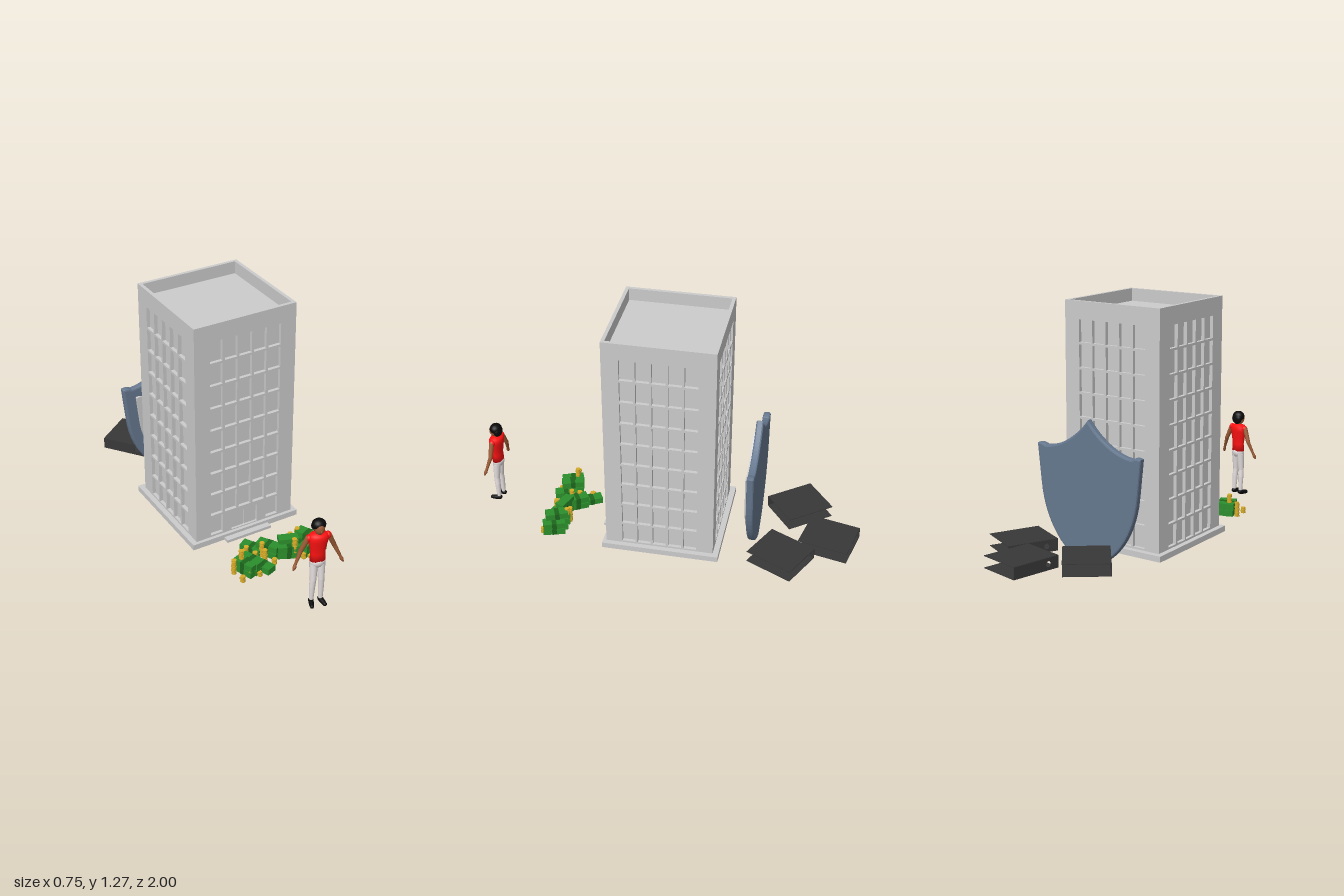
import * as THREE from 'three';
import { mergeGeometries } from 'three/addons/utils/BufferGeometryUtils.js';

const paint = (color, extra = {}) => new THREE.MeshStandardMaterial({ color, ...extra });
const stone = paint(0xcccccc), steel = paint(0x66788f), dark = paint(0x383838, { side: THREE.DoubleSide });
const green = paint(0x2c8f2c), paleGreen = paint(0x1d661d), gold = paint(0xd6ab28);
const red = paint(0xff1212), skin = paint(0x9a5a35), cloth = paint(0xe6dfdf), black = paint(0x0a0a0a);

function add(parent, name, geometry, material, x = 0, y = 0, z = 0, ry = 0) {
  const mesh = new THREE.Mesh(geometry, material);
  mesh.name = name;
  mesh.position.set(x, y, z);
  mesh.rotation.y = ry;
  parent.add(mesh);
  return mesh;
}
const box = (w, h, d) => new THREE.BoxGeometry(w, h, d);
function group(parent, name, x = 0, y = 0, z = 0, ry = 0) {
  const g = new THREE.Group();
  g.name = name;
  g.position.set(x, y, z);
  g.rotation.y = ry;
  parent.add(g);
  return g;
}
const rect = (x0, y0, x1, y1, Kind = THREE.Shape) => new Kind(
  [[x0, y0], [x1, y0], [x1, y1], [x0, y1]].map(p => new THREE.Vector2(...p)));

// Wall with a grid of window openings; the front one also has a doorway
function wall(width, door) {
  const shape = rect(-width / 2, 0.075, width / 2, 1.27);
  for (let row = 0; row < 9; row++) {
    const top = 1.18 - row * 0.1235, bottom = row === 8 ? 0.085 : top - 0.112;
    for (let col = -2; col <= 2; col++) {
      if (door && row === 8 && Math.abs(col) < 2) continue;
      shape.holes.push(rect(col * 0.08 - 0.034, bottom, col * 0.08 + 0.034, top, THREE.Path));
    }
  }
  if (door) shape.holes.push(rect(-0.075, 0.08, 0.075, 0.18, THREE.Path));
  return new THREE.ExtrudeGeometry(shape, { depth: 0.018, bevelEnabled: false });
}

function building(parent) {
  const W = 0.555, D = 0.56, t = 0.018;
  const g = group(parent, 'building', -0.066, 0, 0.005);
  add(g, 'baseSlab', box(0.61, 0.03, 0.607), stone, 0, 0.06, -0.006);
  add(g, 'doorStep', box(0.255, 0.015, 0.04), stone, 0, 0.0525, 0.31);
  add(g, 'coreAndRoof', box(W - 2 * t, 1.135, D - 2 * t), stone, 0, 0.6375, 0);
  add(g, 'frontWall', wall(W, true), stone, 0, 0, D / 2 - t);
  add(g, 'backWall', wall(W, false), stone, 0, 0, -D / 2 + t, Math.PI);
  for (const s of [-1, 1])
    add(g, s > 0 ? 'leftWall' : 'rightWall', wall(D - 2 * t, false), stone, s * (W / 2 - t), 0, 0, s * Math.PI / 2);
  for (const s of [-1, 1]) add(g, 'doorLeaf', box(0.066, 0.092, 0.008), stone, s * 0.036, 0.128, D / 2 - t + 0.004);
}

// Shield outline, mirrored about its middle
function shieldShape() {
  const s = new THREE.Shape();
  s.moveTo(0, 0);
  s.bezierCurveTo(0.15, 0.055, 0.265, 0.19, 0.285, 0.4);
  s.lineTo(0.305, 0.59);
  s.quadraticCurveTo(0.28, 0.6, 0.255, 0.585);
  s.bezierCurveTo(0.16, 0.59, 0.06, 0.66, 0, 0.74);
  s.bezierCurveTo(-0.06, 0.66, -0.16, 0.59, -0.255, 0.585);
  s.quadraticCurveTo(-0.28, 0.6, -0.305, 0.59);
  s.lineTo(-0.285, 0.4);
  s.bezierCurveTo(-0.265, 0.19, -0.15, 0.055, 0, 0);
  return s;
}
function shield(parent) {
  const g = group(parent, 'shield', -0.066, 0, -0.474);
  const plate = new THREE.ExtrudeGeometry(shieldShape(), {
    depth: 0.022, bevelThickness: 0.008, bevelSize: 0.01, bevelOffset: -0.01, bevelSegments: 2, curveSegments: 14 });
  add(g, 'shieldPlate', plate, steel, 0, 0, 0.008);
  const face = new THREE.ExtrudeGeometry(shieldShape(), { depth: 0.015, bevelEnabled: false, curveSegments: 14 });
  face.scale(0.775, 0.775, 1);
  add(g, 'shieldFace', face, stone, 0, 0.077, 0.037);
  add(g, 'shieldBanknote', box(0.21, 0.155, 0.012), green, 0.012, 0.352, 0.058);
}

// Ring binder: two thin covers and a spine with a finger hole
function binder(parent, x, z, ry) {
  const g = group(parent, 'binder', x, 0.126, z, ry);
  for (const s of [-1, 1]) add(g, 'binderCover', box(0.225, 0.003, 0.26), dark, 0, s * 0.0295, 0);
  const shape = rect(-0.13, -0.03, 0.13, 0.03);
  shape.holes.push(new THREE.Path().absarc(0.07, 0, 0.014, 0, Math.PI * 2, true));
  const spine = new THREE.ExtrudeGeometry(shape, { depth: 0.003, bevelEnabled: false });
  add(g, 'binderSpine', spine, dark, -0.1125, 0, 0, -Math.PI / 2);
}

// Bundles of notes and stacks of coins
function money(parent) {
  const g = group(parent, 'money');
  const bundles = [ // x, z, turn, layers
    [-0.12, 0.45, 0.5, 1], [-0.065, 0.515, 0.5, 2], [0.015, 0.575, 1.15, 2], [0.085, 0.575, 0.35, 2],
    [0.125, 0.575, 0.3, 3], [0.165, 0.58, 0.3, 2], [-0.235, 0.58, 0.3, 2], [-0.2, 0.575, 0.3, 2], [-0.15, 0.6, 0.35, 1]];
  for (const [x, z, turn, layers] of bundles)
    for (let i = 0; i < layers; i++) {
      const b = group(g, 'noteBundle', x, 0.063 + i * 0.035, z, turn + i * 0.06);
      add(b, 'notes', box(0.056, 0.033, 0.115), green);
      add(b, 'paperBand', box(0.058, 0.034, 0.024), paleGreen);
    }
  add(g, 'topBundle', box(0.1, 0.025, 0.05), green, 0.02, 0.137, 0.56, -0.35);
  const coins = [ // x, z, base height, count
    [-0.155, 0.45, 0.045, 5], [-0.175, 0.455, 0.045, 3], [-0.1, 0.51, 0.045, 10], [-0.14, 0.51, 0.045, 5],
    [-0.11, 0.555, 0.045, 9], [-0.13, 0.59, 0.045, 3], [-0.08, 0.595, 0.045, 4], [-0.29, 0.56, 0.045, 10],
    [-0.245, 0.555, 0.115, 6], [-0.285, 0.635, 0.045, 4], [-0.235, 0.625, 0.045, 5], [-0.19, 0.637, 0.045, 3],
    [0.06, 0.52, 0.045, 11], [0.095, 0.525, 0.115, 5], [0.035, 0.6, 0.045, 14], [0.07, 0.628, 0.045, 4],
    [0.1, 0.632, 0.045, 2], [0.14, 0.635, 0.045, 3], [0.18, 0.635, 0.045, 4]];
  for (const [x, z, y, n] of coins)
    for (let i = 0; i < n; i++)
      add(g, 'coin', new THREE.CylinderGeometry(0.0125, 0.0125, 0.007, 16), gold,
        x + Math.sin(i * 2.3) * 0.0015, y + 0.004 + i * 0.008, z + Math.cos(i * 1.7) * 0.0015);
}

// Tapered limb through joints given as [x, y, z, radius]
function limb(joints) {
  const parts = [], up = new THREE.Vector3(0, 1, 0);
  joints.forEach(([x, y, z, r], i) => {
    parts.push(new THREE.SphereGeometry(r, 14, 10).translate(x, y, z));
    if (!i) return;
    const [px, py, pz, pr] = joints[i - 1];
    const a = new THREE.Vector3(px, py, pz), b = new THREE.Vector3(x, y, z), d = b.clone().sub(a);
    const c = new THREE.CylinderGeometry(r, pr, d.length(), 14, 1, true);
    c.applyQuaternion(new THREE.Quaternion().setFromUnitVectors(up, d.clone().normalize()));
    const mid = a.add(b).multiplyScalar(0.5);
    parts.push(c.translate(mid.x, mid.y, mid.z));
  });
  return mergeGeometries(parts);
}
const ball = (rx, ry, rz) => new THREE.SphereGeometry(1, 20, 14).scale(rx, ry, rz);
const lathe = pts => new THREE.LatheGeometry(pts.map(p => new THREE.Vector2(...p)), 24);

function person(parent) {
  const g = group(parent, 'person', -0.068, 0, 0.943, -0.235);
  const shirt = lathe([[0, 0.298], [0.039, 0.3], [0.036, 0.34], [0.041, 0.375], [0.05, 0.415],
    [0.051, 0.435], [0.042, 0.447], [0.016, 0.454], [0, 0.454]]).scale(1, 1, 0.68);
  add(g, 'shirt', shirt, red);
  add(g, 'hips', lathe([[0, 0.262], [0.026, 0.266], [0.039, 0.285], [0.036, 0.308], [0, 0.308]]).scale(1, 1, 0.72), cloth);
  add(g, 'neck', limb([[0, 0.44, 0, 0.013], [0, 0.47, 0.004, 0.013]]), skin);
  add(g, 'face', ball(0.025, 0.034, 0.027), skin, 0, 0.484, 0.009);
  add(g, 'nose', ball(0.004, 0.006, 0.005), skin, 0, 0.479, 0.036);
  add(g, 'hair', ball(0.034, 0.028, 0.031), black, 0, 0.499, -0.001);
  add(g, 'backHair', ball(0.032, 0.031, 0.02), black, 0, 0.486, -0.014);
  for (const s of [-1, 1]) {
    add(g, 'sleeve', ball(0.015, 0.018, 0.017), red, s * 0.047, 0.431, 0);
    add(g, 'arm', limb([[s * 0.051, 0.432, 0, 0.0135], [s * 0.082, 0.362, -0.006, 0.011],
      [s * 0.11, 0.3, 0.006, 0.007]]), skin);
    add(g, 'hand', limb([[s * 0.11, 0.3, 0.006, 0.007], [s * 0.116, 0.285, 0.01, 0.009],
      [s * 0.122, 0.273, 0.013, 0.005]]), skin);
    add(g, 'trouserLeg', limb([[s * 0.018, 0.28, 0, 0.021], [s * 0.02, 0.19, 0.006, 0.0155],
      [s * 0.022, 0.15, 0.003, 0.015], [s * 0.023, 0.075, 0, 0.011]]), cloth);
    add(g, 'shoe', limb([[s * 0.023, 0.062, -0.004, 0.013], [s * 0.028, 0.058, 0.018, 0.0125],
      [s * 0.032, 0.056, 0.038, 0.01]]), black);
  }
}

export function createModel() {
  const model = new THREE.Group();
  model.name = 'guardedBuilding';
  building(model);
  shield(model);
  binder(model, -0.205, -0.673, 0.65);
  binder(model, 0.04, -0.85, -0.22);
  binder(model, 0.213, -0.622, -0.46);
  money(model);
  person(model);
  return model;
}
